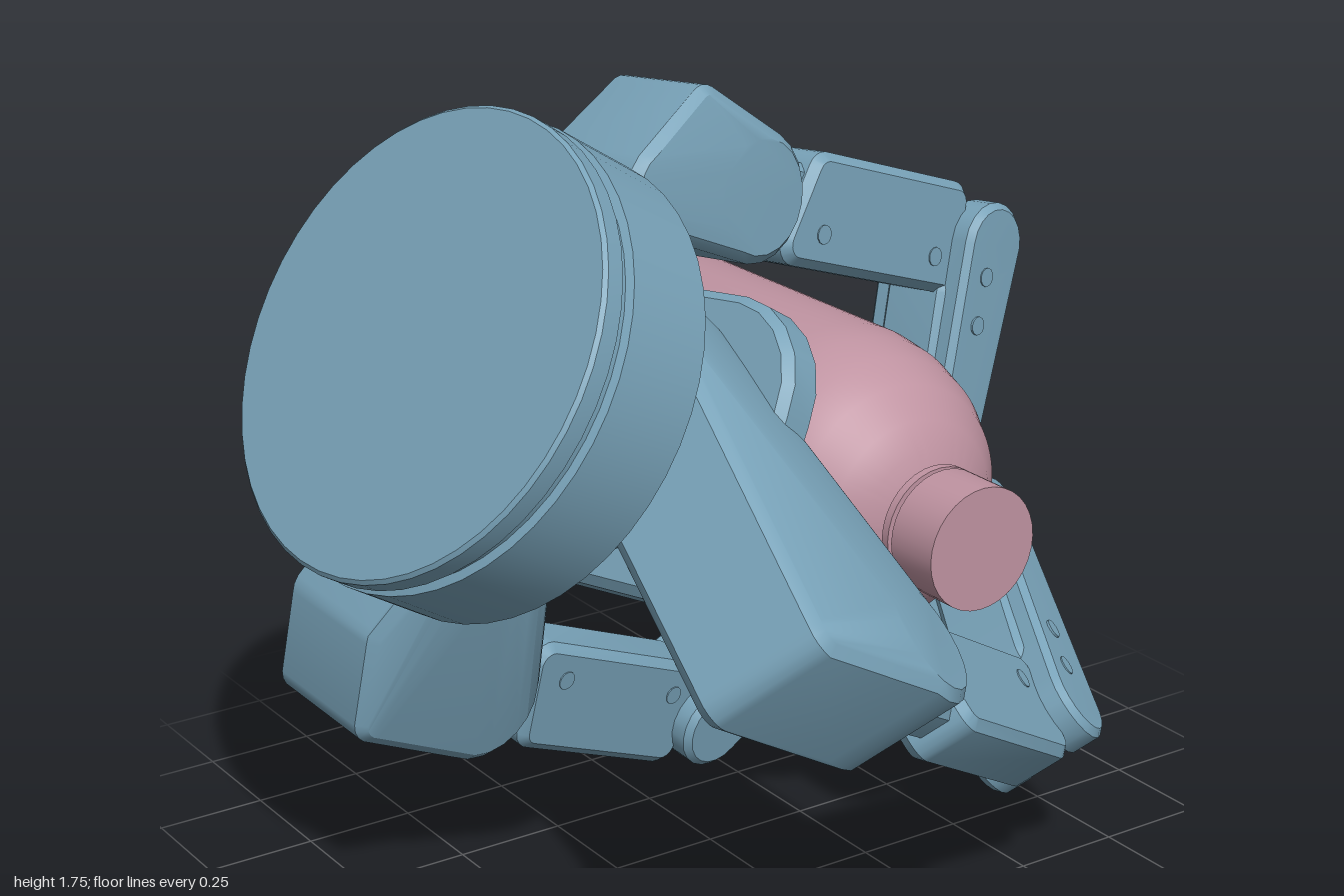
import * as THREE from 'three';
import { ConvexGeometry } from 'three/addons/geometries/ConvexGeometry.js';
import { toCreasedNormals } from 'three/addons/utils/BufferGeometryUtils.js';

const V = (x, y, z) => new THREE.Vector3(x, y, z);
const steel = new THREE.MeshStandardMaterial({ color: 0x78a2b8 });
const pink = new THREE.MeshStandardMaterial({ color: 0xbf93a1 });

function add(parent, name, geometry, material = steel) {
  const mesh = new THREE.Mesh(geometry, material);
  mesh.name = name;
  parent.add(mesh);
  return mesh;
}

// Bevelled solid wrapped around discs [centre, radius, halfWidth] that share the axis n
function hull(discs, n, bevel = 0.02) {
  const e1 = V(0.31, 0.9, 0.2).cross(n).normalize();
  const e2 = n.clone().cross(e1);
  const pts = [];
  for (const [c, r, w] of discs)
    for (const side of [-1, 1])
      for (const [rr, ww] of [[r, w - bevel], [r - bevel, w]])
        for (let i = 0; i < 20; i++) {
          const a = (i / 20) * Math.PI * 2;
          pts.push(c.clone().addScaledVector(n, side * ww)
            .addScaledVector(e1, rr * Math.cos(a)).addScaledVector(e2, rr * Math.sin(a)));
        }
  return toCreasedNormals(new ConvexGeometry(pts), 0.5);
}

// Lathe solid whose profile runs along the given axis
function turned(profile, segments, axis, origin) {
  const g = new THREE.LatheGeometry(profile.map(([r, h]) => new THREE.Vector2(r, h)), segments);
  g.applyQuaternion(new THREE.Quaternion().setFromUnitVectors(V(0, 1, 0), axis));
  g.translate(origin.x, origin.y, origin.z);
  return g;
}

function screw(parent, p, n, depth) {
  const g = new THREE.CylinderGeometry(0.022, 0.022, depth * 2, 12);
  const m = add(parent, 'screw', toCreasedNormals(g, 0.5));
  m.position.copy(p);
  m.quaternion.setFromUnitVectors(V(0, 1, 0), n);
}

// One finger: knuckle housing, middle link and grooved fingertip
function finger(name, j1, j2, tip, knuckle) {
  const group = new THREE.Group();
  group.name = name;
  const d2 = j2.clone().sub(j1), d3 = tip.clone().sub(j2);
  const n = d2.clone().cross(d3).normalize();
  const up2 = n.clone().cross(d2).normalize();
  const in3 = n.clone().cross(d3).normalize();
  const at = (p, d, t, side, s) => p.clone().addScaledVector(d, t).addScaledVector(side, s);

  add(group, 'knuckle', hull([[j1, 0.145, 0.15], ...knuckle], n));

  // Middle link: narrow joint bar inside a rounded box
  add(group, 'jointBar', hull([[j1, 0.1, 0.055], [j2, 0.085, 0.055]], n));
  const box = [];
  for (const [t, s] of [[0.33, 0.08], [0.27, -0.08], [0.88, 0.08], [0.88, -0.08]])
    box.push([at(j1, d2, t, up2, -s), 0.05, 0.08]);
  add(group, 'middleLink', hull(box, n));
  for (const t of [0.35, 0.82]) screw(group, at(j1, d2, t, up2, 0.05), n, 0.083);

  // Fingertip: two side rails, a nearly flush core and an inner pad
  for (const s of [-1, 1]) {
    const rail = (p, r, off, w) => [p.clone().addScaledVector(n, s * off), r, w];
    add(group, 'tipRail', hull([rail(j2, 0.1, 0.088, 0.047), rail(tip, 0.075, 0.095, 0.03)], n, 0.015));
  }
  add(group, 'tipCore', hull([[at(j2, d3, 0.3, in3, 0), 0.083, 0.08], [at(j2, d3, 0.8, in3, 0), 0.07, 0.08]], n));
  add(group, 'tipEnd', hull([[at(j2, d3, 0.85, in3, 0), 0.08, 0.1], [tip, 0.075, 0.1]], n));
  add(group, 'gripPad', hull([[at(j2, d3, 0.2, in3, 0.07), 0.04, 0.09], [at(j2, d3, 1, in3, 0.045), 0.04, 0.09]], n));
  for (const t of [0.12, 0.3]) screw(group, at(j2, d3, t, in3, 0.02), n, 0.138);
  return group;
}

function buildBottle(parent) {
  const group = new THREE.Group();
  group.name = 'bottle';
  const profile = [[0, -0.93], [0.06, -0.94], [0.13, -0.965], [0.19, -0.98], [0.26, -0.98], [0.295, -0.96],
    [0.325, -0.925], [0.34, -0.885], [0.345, -0.845], [0.345, 0.07], [0.335, 0.15], [0.31, 0.23],
    [0.27, 0.3], [0.21, 0.36], [0.15, 0.395], [0.1, 0.41]];
  const body = turned(profile, 100, V(0, 0, 1), V(0, 0, 0));
  // Five V-shaped valleys pressed into the base
  const p = body.attributes.position;
  const fifth = Math.PI * 0.4;
  for (let i = 0; i < p.count; i++) {
    const x = p.getX(i), y = p.getY(i), z = p.getZ(i), r = Math.hypot(x, y);
    if (z > -0.85 || r < 0.03) continue;
    const a = Math.atan2(y, x) - fifth / 2;
    const gap = Math.abs(a - fifth * Math.round(a / fifth));
    const dent = Math.max(0, 1 - gap / 0.31) * Math.min(1, r / 0.2);
    p.setZ(i, z + dent * Math.min(0.13, -0.845 - z));
  }
  add(group, 'bottleBody', toCreasedNormals(body, 0.35), pink);

  const cap = [[0.1, 0.38], [0.1, 0.435], [0.135, 0.435], [0.135, 0.455], [0.1, 0.455], [0.1, 0.467],
    [0.135, 0.467], [0.135, 0.6], [0, 0.6]];
  add(group, 'neckAndCap', toCreasedNormals(turned(cap, 32, V(0, 0, 1), V(0, 0, 0)), 0.5), pink);
  group.position.set(0.27, 0.83, 0);
  parent.add(group);
}

export function createModel() {
  const model = new THREE.Group();
  model.name = 'gripperHoldingBottle';

  // Wrist flange and palm on the gripper's tilted axis
  const axis = V(0.84, -0.52, -0.12).normalize();
  const back = V(-0.74, 1.32, 0.045);
  const flange = [[0, 0], [0.492, 0], [0.5, 0.008], [0.5, 0.05], [0.485, 0.055], [0.485, 0.075],
    [0.503, 0.08], [0.503, 0.295], [0.488, 0.31], [0, 0.31]];
  add(model, 'wristFlange', toCreasedNormals(turned(flange, 48, axis, back), 0.5));
  const body = [[0.31, 0.3], [0.29, 0.58], [0, 0.58]];
  add(model, 'palmBody', toCreasedNormals(turned(body, 32, axis, back), 0.5));

  const side = V(0.22, 0.08, 0.97);
  side.addScaledVector(axis, -side.dot(axis)).normalize();
  const rise = side.clone().cross(axis);
  const centre = back.clone().addScaledVector(axis, 0.62);
  const plate = [];
  for (const s of [-1, 1])
    for (const t of [-1, 1])
      plate.push([centre.clone().addScaledVector(side, 0.26 * s).addScaledVector(rise, 0.11 * t), 0.22, 0.055]);
  add(model, 'palmPlate', hull(plate, axis));

  // Three fingers closing round the bottle
  model.add(finger('upperFinger', V(0.1, 1.455, -0.14), V(0.885, 1.18, -0.29), V(0.69, 0.585, -0.2), [
    [V(-0.02, 1.66, -0.15), 0.05, 0.14], [V(-0.16, 1.52, -0.11), 0.1, 0.15]]));
  model.add(finger('frontFinger', V(-0.16, 0.725, 0.78), V(0.5, 0.33, 0.5), V(0.72, 0.575, -0.02), [
    [V(-0.44, 0.825, 0.84), 0.06, 0.15], [V(-0.27, 1.14, 0.2), 0.16, 0.16]]));
  model.add(finger('lowerFinger', V(-0.5, 0.42, -0.28), V(0.21, 0.105, -0.43), V(0.74, 0.39, -0.46), [
    [V(-0.8, 0.48, -0.22), 0.06, 0.15], [V(-0.78, 0.67, -0.19), 0.06, 0.15], [V(-0.55, 0.86, -0.12), 0.15, 0.15]]));

  buildBottle(model);
  return model;
}
